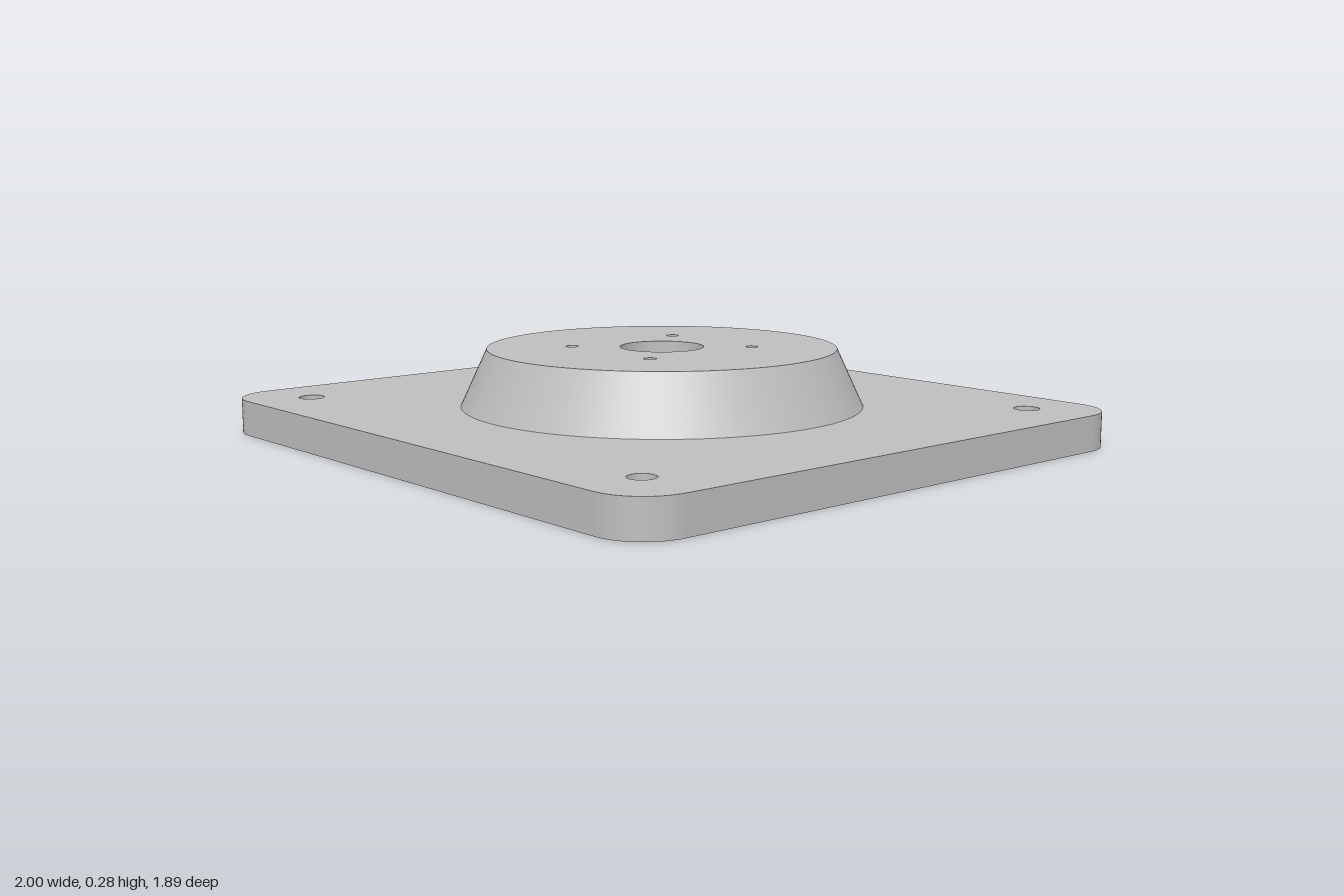
import * as THREE from 'three';

const W = 1, D = 0.945, CORNER = 0.15;      // plate half sizes and corner radius
const PLATE_H = 0.107, TOP = 0.28;          // plate top and boss top heights
const BOSS_R = 0.61, BOSS_TOP_R = 0.53, BORE_R = 0.127;
const BOLT = { x: 0.795, z: 0.754, r: 0.039 };
const SCREW = { x: 0.182, z: 0.203, r: 0.019, depth: 0.1 };

const mirrored = ({ x, z }) => [[x, z], [-x, z], [-x, -z], [x, -z]];

// rounded outline as points with outward normals
function outline(steps = 16) {
  const pts = [];
  mirrored({ x: W - CORNER, z: D - CORNER }).forEach(([cx, cz], q) => {
    for (let i = 0; i <= steps; i++) {
      const a = (q + i / steps) * Math.PI / 2;
      const nx = Math.cos(a), nz = Math.sin(a);
      pts.push({ x: cx + CORNER * nx, z: cz + CORNER * nz, nx, nz });
    }
  });
  return pts;
}

// smooth vertical band around the outline
function rimGeometry(pts) {
  const pos = [], nor = [], idx = [];
  pts.forEach((p, i) => {
    pos.push(p.x, 0, p.z, p.x, PLATE_H, p.z);
    nor.push(p.nx, 0, p.nz, p.nx, 0, p.nz);
    const a = 2 * i, b = 2 * ((i + 1) % pts.length);
    idx.push(a, a + 1, b, b, a + 1, b + 1);
  });
  const g = new THREE.BufferGeometry();
  g.setAttribute('position', new THREE.Float32BufferAttribute(pos, 3));
  g.setAttribute('normal', new THREE.Float32BufferAttribute(nor, 3));
  g.setIndex(idx);
  return g;
}

const circle = (x, y, r, cls = THREE.Path) => new cls().absarc(x, y, r, 0, Math.PI * 2, false);

// horizontal face with holes, facing up or down
function face(shape, holes, y, up = true) {
  shape.holes.push(...holes);
  return new THREE.ShapeGeometry(shape, 48).rotateX(up ? -Math.PI / 2 : Math.PI / 2).translate(0, y, 0);
}

// open round wall between two heights
function wall(rTop, rBottom, y0, y1, x = 0, z = 0, sides = 96) {
  return new THREE.CylinderGeometry(rTop, rBottom, y1 - y0, sides, 1, true).translate(x, (y0 + y1) / 2, z);
}

export function createModel() {
  const metal = new THREE.MeshStandardMaterial({ color: 0xbfbfbf, side: THREE.DoubleSide });
  metal.name = 'grey metal';
  const model = new THREE.Group();
  model.name = 'mountingFlange';
  const plate = new THREE.Group(), boss = new THREE.Group();
  plate.name = 'basePlate';
  boss.name = 'taperedBoss';
  model.add(plate, boss);
  const add = (group, name, geometry) => {
    const mesh = new THREE.Mesh(geometry, metal);
    mesh.name = name;
    group.add(mesh);
  };

  // base plate
  const pts = outline();
  const plateShape = () => new THREE.Shape(pts.map(p => new THREE.Vector2(p.x, p.z)));
  const bolts = () => mirrored(BOLT).map(([x, z]) => circle(x, z, BOLT.r));
  add(plate, 'plateTop', face(plateShape(), [...bolts(), circle(0, 0, BOSS_R)], PLATE_H));
  add(plate, 'plateBottom', face(plateShape(), [...bolts(), circle(0, 0, BORE_R)], 0, false));
  add(plate, 'plateRim', rimGeometry(pts));
  for (const [x, z] of mirrored(BOLT)) {
    add(plate, 'boltHole', wall(BOLT.r, BOLT.r, 0, PLATE_H, x, z, 48));
  }

  // tapered boss with central bore
  const screws = mirrored(SCREW).map(([x, z]) => circle(x, z, SCREW.r));
  add(boss, 'bossTop', face(circle(0, 0, BOSS_TOP_R, THREE.Shape), [circle(0, 0, BORE_R), ...screws], TOP));
  add(boss, 'bossTaper', wall(BOSS_TOP_R, BOSS_R, PLATE_H, TOP));
  add(boss, 'centreBore', wall(BORE_R, BORE_R, 0, TOP));

  // blind screw holes
  for (const [x, z] of mirrored(SCREW)) {
    const floor = TOP - SCREW.depth;
    add(boss, 'screwHole', wall(SCREW.r, SCREW.r, floor, TOP, x, z, 32));
    add(boss, 'screwHoleFloor', new THREE.CircleGeometry(SCREW.r, 32).rotateX(-Math.PI / 2).translate(x, floor, z));
  }
  return model;
}
